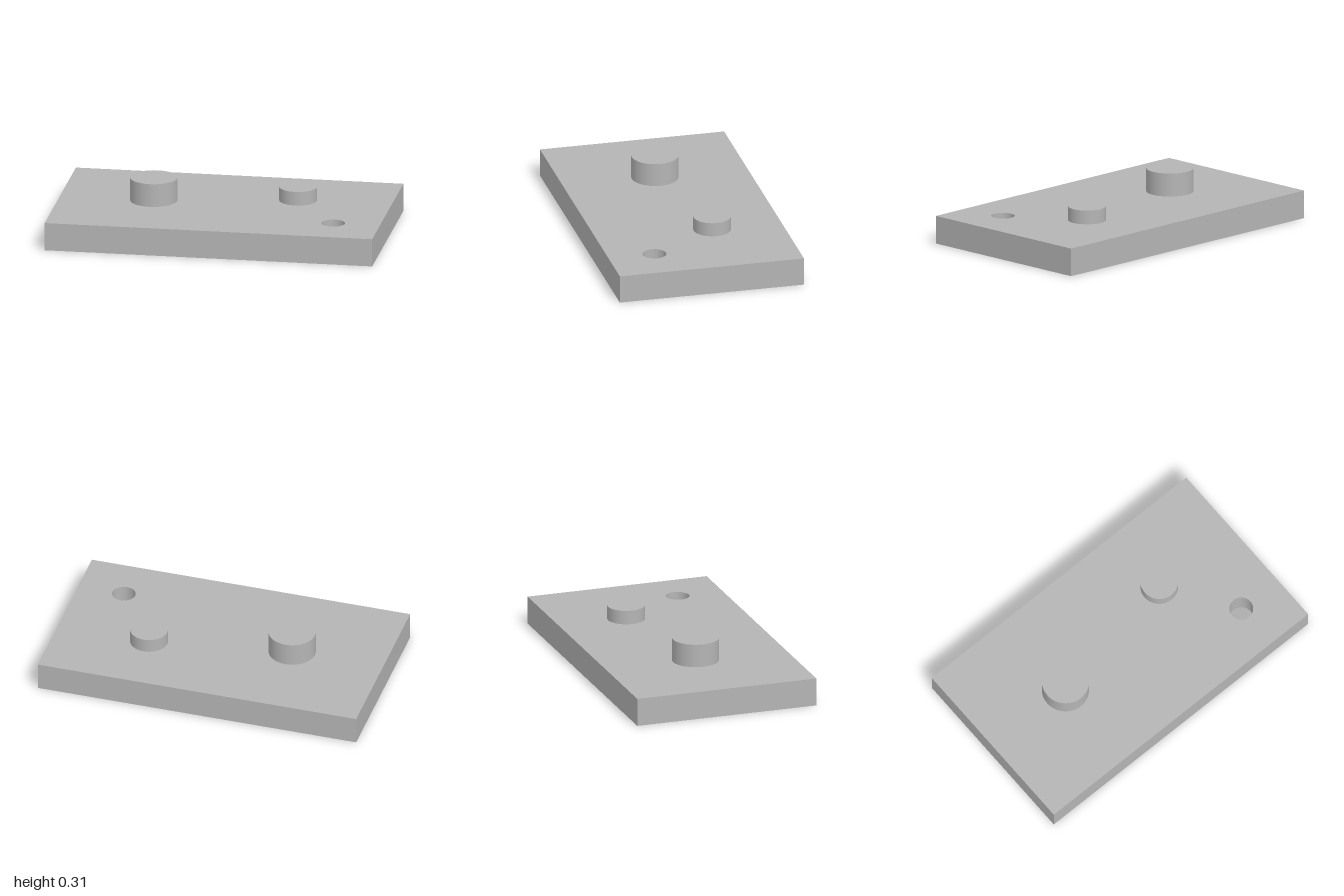
import * as THREE from 'three';

const U = 2 / 70; // the plate is 70 modules long

export function createModel() {
  const group = new THREE.Group();
  const grey = new THREE.MeshStandardMaterial({ color: 0xb4b4b4 });
  grey.name = 'plain grey';

  // Base plate with a round through hole near the front left corner
  const length = 70 * U, depth = 40 * U, thickness = 6 * U;
  const outline = new THREE.Shape([
    new THREE.Vector2(-length / 2, -depth / 2),
    new THREE.Vector2(length / 2, -depth / 2),
    new THREE.Vector2(length / 2, depth / 2),
    new THREE.Vector2(-length / 2, depth / 2),
  ]);
  const hole = new THREE.Path();
  hole.absarc(25 * U, -10 * U, 2.5 * U, 0, Math.PI * 2, true);
  outline.holes.push(hole);
  const plateGeometry = new THREE.ExtrudeGeometry(outline, {
    depth: thickness, bevelEnabled: false, curveSegments: 48,
  });
  plateGeometry.rotateX(-Math.PI / 2);
  const plate = new THREE.Mesh(plateGeometry, grey);
  plate.name = 'basePlate';
  group.add(plate);

  // Round bosses standing on the plate
  const addBoss = (name, x, z, radius, height) => {
    const boss = new THREE.Mesh(
      new THREE.CylinderGeometry(radius * U, radius * U, height * U, 64), grey);
    boss.name = name;
    boss.position.set(x * U, thickness + height * U / 2, z * U);
    group.add(boss);
  };
  addBoss('largeBoss', -15, 0, 5, 5);
  addBoss('smallBoss', 15, -5, 4, 3);

  return group;
}
